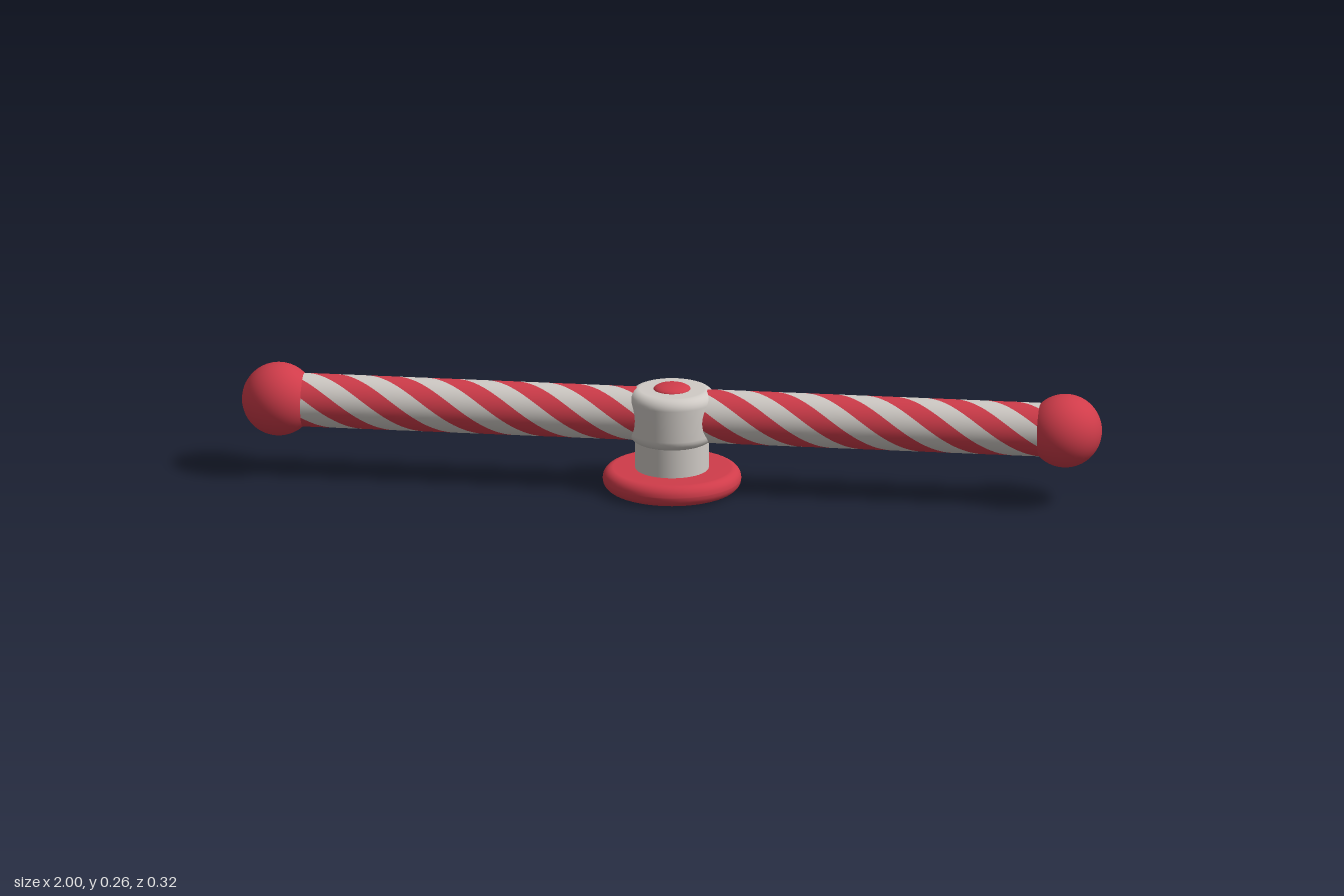
import * as THREE from 'three';

const red = new THREE.MeshStandardMaterial({ color: 0xd03c4a });
red.name = 'red';
const white = new THREE.MeshStandardMaterial({ color: 0xd0cbc6 });
white.name = 'offWhite';

const AXIS_Y = 0.177;
const ARM = { start: 0.06, end: 0.88, radius: 0.062, pitch: 0.56, strands: 4 };

// Round solid of revolution with filleted top and bottom edges
function roundedDisc(name, radius, y0, y1, fillet, material) {
  const pts = [new THREE.Vector2(0, y0)];
  for (const [cy, from] of [[y0 + fillet, -Math.PI / 2], [y1 - fillet, 0]]) {
    for (let i = 0; i <= 6; i++) {
      const a = from + (i / 6) * (Math.PI / 2);
      pts.push(new THREE.Vector2(radius - fillet + Math.cos(a) * fillet, cy + Math.sin(a) * fillet));
    }
  }
  pts.push(new THREE.Vector2(0, y1));
  const mesh = new THREE.Mesh(new THREE.LatheGeometry(pts, 48), material);
  mesh.name = name;
  return mesh;
}

// One helical band of the arm's surface, twisting from the top towards +z along x
function helixBand(index) {
  const { start, end, radius, pitch, strands } = ARM;
  const steps = 80, across = 6, width = Math.PI / strands;
  const pos = [], nor = [], idx = [];
  for (let i = 0; i <= steps; i++) {
    const x = start + (end - start) * (i / steps);
    for (let j = 0; j <= across; j++) {
      const a = (x - 0.09) * 2 * Math.PI / pitch + (index - 0.5 + j / across) * width;
      const c = Math.cos(a), s = Math.sin(a);
      pos.push(x, c * radius, s * radius);
      nor.push(0, c, s);
      if (i < steps && j < across) {
        const p = i * (across + 1) + j, q = p + across + 1;
        idx.push(p, p + 1, q, q, p + 1, q + 1);
      }
    }
  }
  const geo = new THREE.BufferGeometry();
  geo.setAttribute('position', new THREE.Float32BufferAttribute(pos, 3));
  geo.setAttribute('normal', new THREE.Float32BufferAttribute(nor, 3));
  geo.setIndex(idx);
  return geo;
}

// Striped arm with a ball on its end
function makeArm(name) {
  const arm = new THREE.Group();
  arm.name = name;
  for (let i = 0; i < ARM.strands * 2; i++) {
    const band = new THREE.Mesh(helixBand(i), i % 2 ? white : red);
    band.name = i % 2 ? 'whiteStripe' : 'redStripe';
    arm.add(band);
  }
  const ball = new THREE.Mesh(new THREE.SphereGeometry(0.085, 40, 28), red);
  ball.name = 'endBall';
  ball.position.x = 0.915;
  arm.add(ball);
  arm.position.y = AXIS_Y;
  return arm;
}

export function createModel() {
  const model = new THREE.Group();
  model.name = 'stripedCrossbar';

  // Pedestal
  model.add(roundedDisc('base', 0.16, 0, 0.05, 0.024, red));
  const stem = new THREE.Mesh(new THREE.CylinderGeometry(0.085, 0.085, 0.12, 48), white);
  stem.name = 'stem';
  stem.position.y = 0.1;
  model.add(stem);

  // Hub with a shallow domed button
  model.add(roundedDisc('hub', 0.1, 0.115, 0.24, 0.025, white));
  const button = new THREE.Mesh(
    new THREE.SphereGeometry(0.043, 32, 10, 0, Math.PI * 2, 0, Math.PI / 2), red);
  button.name = 'button';
  button.scale.y = 0.3;
  button.position.y = 0.239;
  model.add(button);

  // The two arms are half a turn apart
  const left = makeArm('leftArm');
  const right = makeArm('rightArm');
  right.rotation.y = Math.PI;
  model.add(left, right);
  return model;
}
